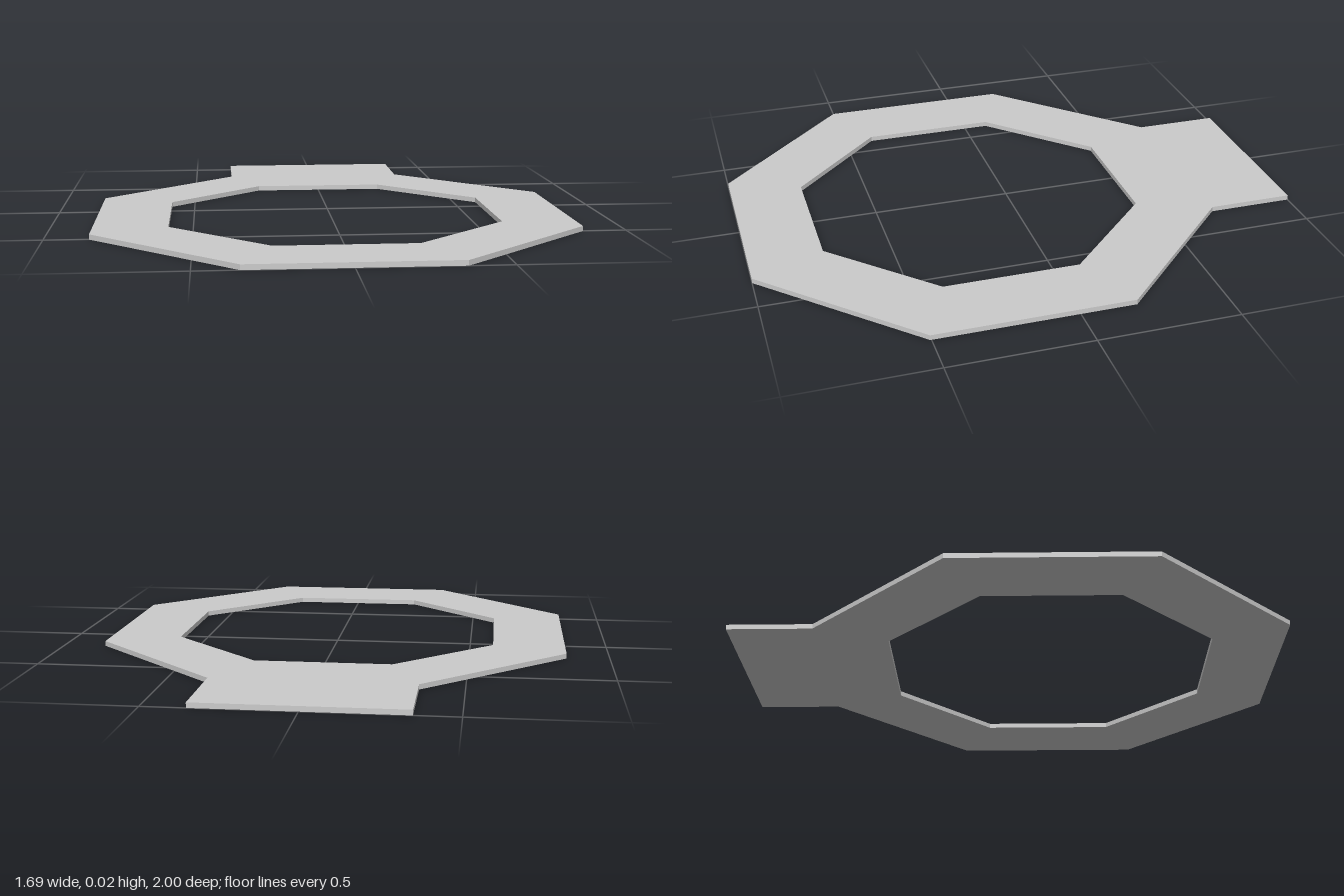
import * as THREE from 'three';

const THICKNESS = 0.018;
const CENTER_Z = 0.154;   // centre of the octagonal ring
const OUTER = 0.846;      // centre to outer flat
const INNER = 0.585;      // centre to inner flat
const BACK_Z = -1;        // far edge of the tab

// Corners of a regular octagon, starting at the right end of its back edge.
// The shape's y axis becomes -z once the plate is laid flat.
function octagon(apothem) {
  const radius = apothem / Math.cos(Math.PI / 8);
  return Array.from({ length: 8 }, (_, i) => {
    const a = Math.PI * (5 / 8 + i / 4);
    return new THREE.Vector2(radius * Math.cos(a), radius * Math.sin(a) - CENTER_Z);
  });
}

export function createModel() {
  const group = new THREE.Group();
  group.name = 'octagonalPlate';

  // Outer octagon, with the back edge pushed out into a tab of the same width
  const outline = octagon(OUTER);
  const halfTab = outline[7].x;
  outline.push(new THREE.Vector2(halfTab, -BACK_Z), new THREE.Vector2(-halfTab, -BACK_Z));

  // Octagonal opening
  const shape = new THREE.Shape(outline);
  shape.holes.push(new THREE.Path(octagon(INNER)));

  // Flat plate lying on the ground
  const geometry = new THREE.ExtrudeGeometry(shape, { depth: THICKNESS, bevelEnabled: false });
  geometry.rotateX(-Math.PI / 2);
  const plate = new THREE.Mesh(
    geometry,
    new THREE.MeshStandardMaterial({ color: 0xcccccc, flatShading: true })
  );
  plate.name = 'ringWithTab';
  group.add(plate);
  return group;
}
